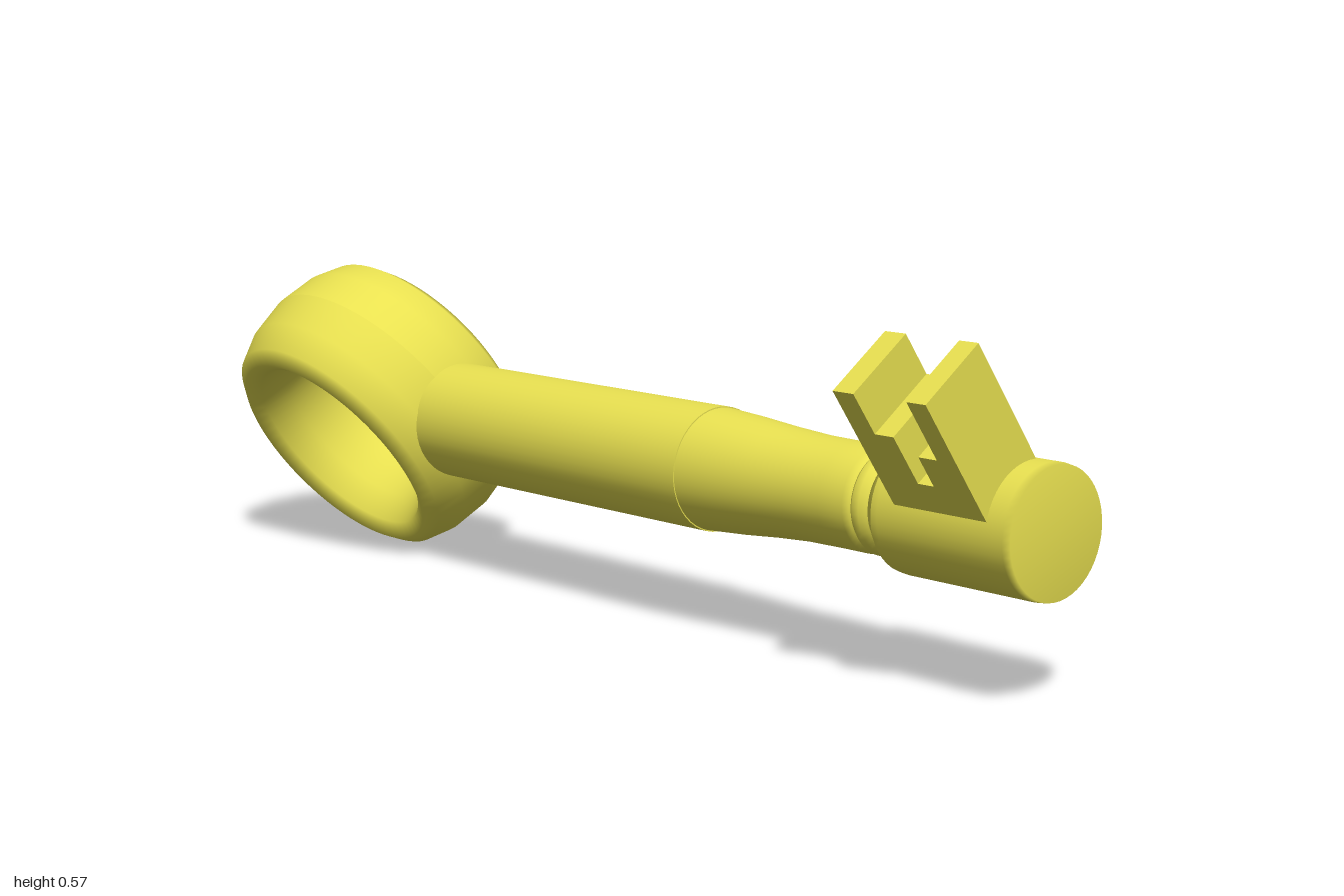
import * as THREE from 'three';

const material = new THREE.MeshStandardMaterial({ color: 0xe8e050, side: THREE.DoubleSide });

function addMesh(parent, name, geometry) {
  const mesh = new THREE.Mesh(geometry, material);
  mesh.name = name;
  parent.add(mesh);
  return mesh;
}

// Smooth round part along x, from [x, radius] pairs
function turned(pairs) {
  const points = pairs.map(([x, r]) => new THREE.Vector2(r, x));
  return new THREE.LatheGeometry(points, 48).rotateZ(-Math.PI / 2);
}

export function createModel() {
  const model = new THREE.Group();
  model.name = 'key';

  // The whole key is rolled about its long axis
  const key = new THREE.Group();
  key.name = 'rolledKey';
  key.position.y = 0.278;
  key.rotation.x = 0.628;
  model.add(key);

  // Finger ring: rounded band, broad along its axis
  const band = [
    [0.282, 0], [0.273, 0.074], [0.252, 0.127], [0.226, 0.145], [0.2, 0.127], [0.18, 0.074], [0.17, 0],
    [0.18, -0.074], [0.2, -0.127], [0.226, -0.145], [0.252, -0.127], [0.273, -0.074], [0.282, 0],
  ].map(([r, y]) => new THREE.Vector2(r, y));
  const ring = addMesh(key, 'ring', new THREE.LatheGeometry(band, 64).rotateX(Math.PI / 2));
  ring.position.x = -0.718;

  // Shaft, tapering neck and collar
  addMesh(key, 'shaft', turned([[-0.5, 0.108], [0.26, 0.108]]));
  addMesh(key, 'shaftShoulder', turned([[0.26, 0.108], [0.26, 0.1]]));
  addMesh(key, 'neck', turned([
    [0.26, 0.106], [0.34, 0.101], [0.42, 0.094], [0.5, 0.089], [0.58, 0.088], [0.635, 0.088], [0.645, 0.083], [0.65, 0.076],
  ]));
  addMesh(key, 'collar', turned([
    [0.645, 0.07], [0.65, 0.083], [0.657, 0.088], [0.67, 0.087], [0.68, 0.08], [0.69, 0.072],
  ]));

  // Barrel with a bevelled shoulder and closed end
  addMesh(key, 'barrelShoulder', turned([[0.685, 0], [0.685, 0.081], [0.715, 0.106]]));
  addMesh(key, 'barrel', turned([[0.715, 0.106], [0.73, 0.108], [0.985, 0.108], [1, 0.106], [1, 0]]));

  // Bit: two tall plates with lower stepped wards between, as [start, end, top]
  const bit = new THREE.Group();
  bit.name = 'bit';
  key.add(bit);
  const bottom = 0.04;
  const wards = [
    ['innerPlate', 0.764, 0.807, 0.316],
    ['tallWard', 0.807, 0.845, 0.235],
    ['lowWard', 0.845, 0.877, 0.14],
    ['middleWard', 0.877, 0.914, 0.2],
    ['outerPlate', 0.914, 0.952, 0.316],
  ];
  for (const [name, start, end, top] of wards) {
    const ward = addMesh(bit, name, new THREE.BoxGeometry(end - start, top - bottom, 0.138));
    ward.position.set((start + end) / 2, (top + bottom) / 2, 0.002);
  }

  return model;
}
